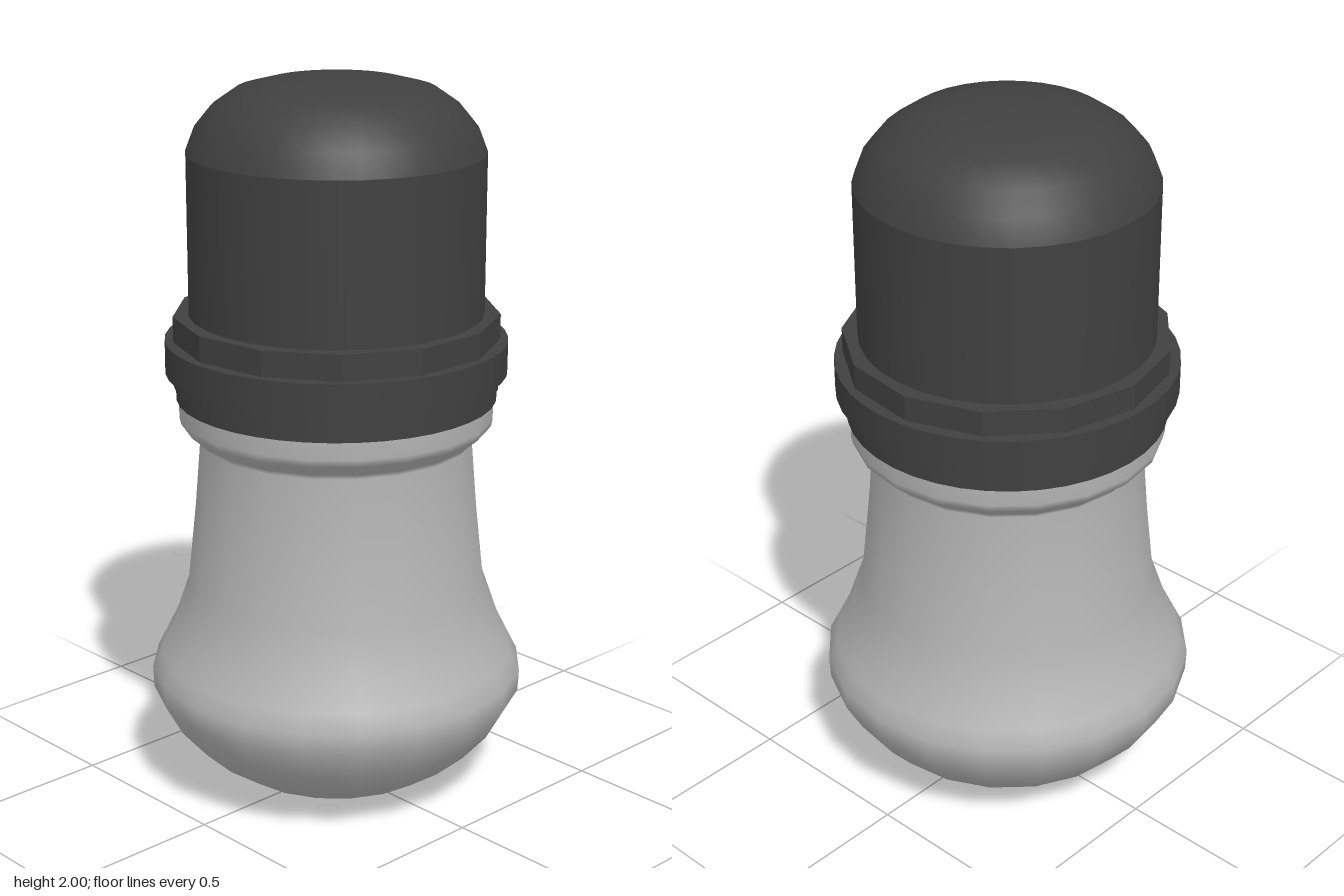
import * as THREE from 'three';

export function createModel() {
  const group = new THREE.Group();
  const lightGrey = new THREE.MeshStandardMaterial({ color: 0xb4b4b4 });
  lightGrey.name = 'light grey';
  const charcoal = new THREE.MeshStandardMaterial({ color: 0x404040 });
  charcoal.name = 'charcoal';

  const add = (name, geometry, material, y = 0) => {
    const mesh = new THREE.Mesh(geometry, material);
    mesh.name = name;
    mesh.position.y = y;
    group.add(mesh);
  };
  const lathe = (profile, sides) =>
    new THREE.LatheGeometry(profile.map(([r, y]) => new THREE.Vector2(r, y)), sides);

  // Bulbous lower body with a flared collar
  add('body', lathe([
    [0, 0], [0.1, 0.006], [0.2, 0.02], [0.3, 0.055], [0.4, 0.125], [0.47, 0.205],
    [0.517, 0.29], [0.52, 0.35], [0.495, 0.4], [0.46, 0.47], [0.415, 0.6],
    [0.39, 0.83], [0.375, 1.01], [0.385, 1.025], [0.425, 1.06], [0.43, 1.08], [0.43, 1.14],
  ], 20), lightGrey);

  // Stacked rings: name, radius, bottom, top, sides
  const rings = [
    ['lowerRing', 0.437, 1.13, 1.165, 40],
    ['middleRing', 0.442, 1.165, 1.205, 40],
    ['wideRing', 0.465, 1.205, 1.295, 40],
  ];
  for (const [name, r, y0, y1, sides] of rings) {
    add(name, new THREE.CylinderGeometry(r, r, y1 - y0, sides), charcoal, (y0 + y1) / 2);
  }
  // Faceted upper ring
  const facetedRing = new THREE.CylinderGeometry(0.443, 0.443, 0.07, 13).toNonIndexed();
  facetedRing.computeVertexNormals();
  facetedRing.rotateY(Math.PI);
  add('facetedRing', facetedRing, charcoal, 1.33);

  // Straight cap wall and rounded dome
  add('capWall', new THREE.CylinderGeometry(0.4, 0.4, 0.46, 32, 1, true), charcoal, 1.57);
  add('capDome', lathe([
    [0.4, 1.8], [0.375, 1.865], [0.33, 1.92], [0.265, 1.965],
    [0.18, 1.987], [0.09, 1.997], [0, 2],
  ], 32), charcoal);

  return group;
}
